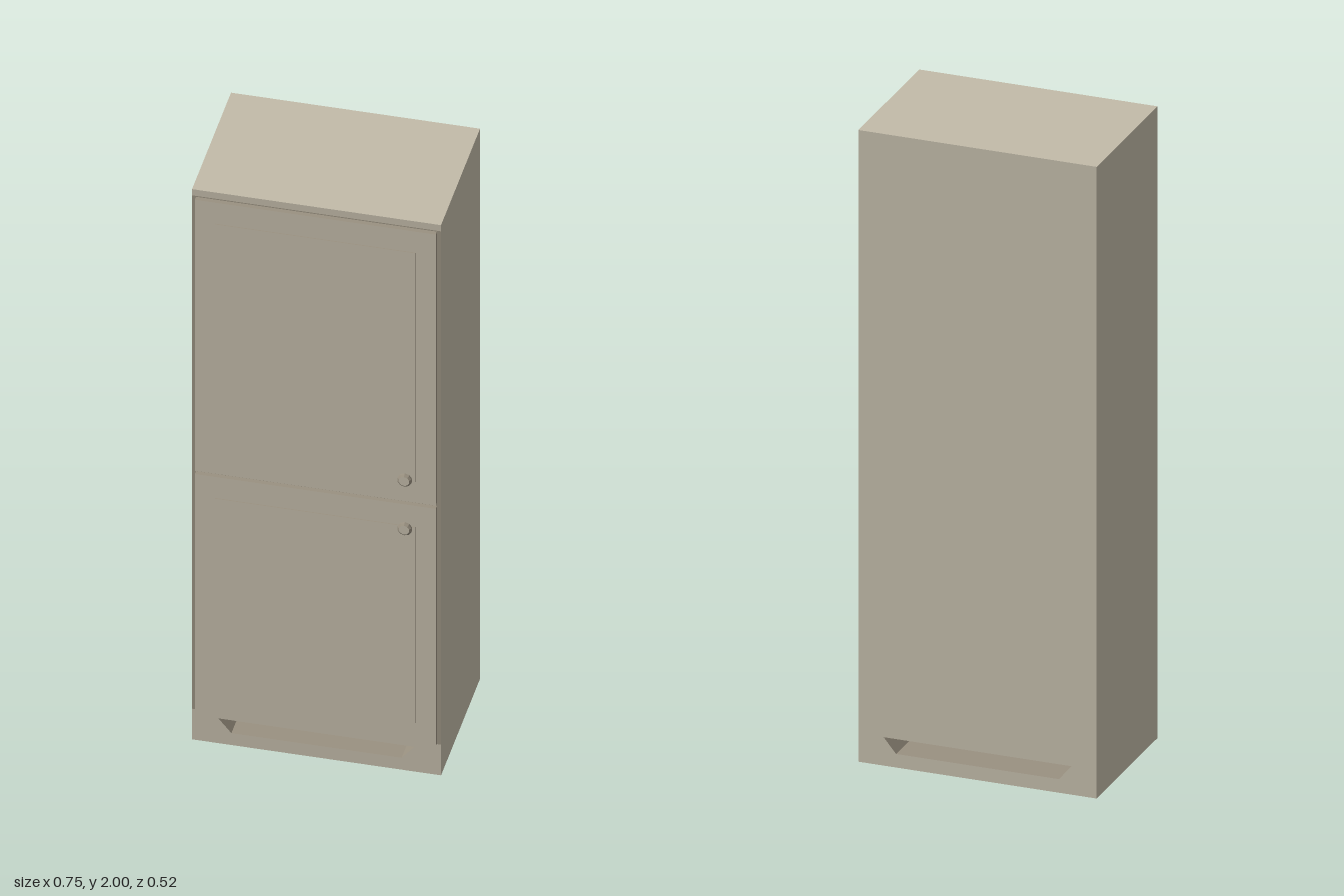
import * as THREE from 'three';

export function createModel() {
  const model = new THREE.Group();
  model.name = 'tallCabinet';

  const light = new THREE.MeshStandardMaterial({ color: 0xc2bba9 });
  light.name = 'beige';
  const dark = new THREE.MeshStandardMaterial({ color: 0x9a9181 });
  dark.name = 'darkBeige';

  const W = 0.373, BACK = -0.263, FRONT = 0.22;

  function add(name, geometry, material, parent = model) {
    const mesh = new THREE.Mesh(geometry, material);
    mesh.name = name;
    parent.add(mesh);
    return mesh;
  }

  function box(name, x0, x1, y0, y1, z0, z1, material, parent) {
    const mesh = add(name, new THREE.BoxGeometry(x1 - x0, y1 - y0, z1 - z0), material, parent);
    mesh.position.set((x0 + x1) / 2, (y0 + y1) / 2, (z0 + z1) / 2);
    return mesh;
  }

  const points = (list) => list.map(([x, y]) => new THREE.Vector2(x, y));

  // Carcass with a tapered slot running through the plinth
  const outline = new THREE.Shape(points([[-W, 0], [W, 0], [W, 2], [-W, 2]]));
  outline.holes.push(new THREE.Path(points([[-0.294, 0.09], [0.294, 0.09], [0.255, 0.043], [-0.255, 0.043]])));
  const carcass = new THREE.ExtrudeGeometry(outline, { depth: FRONT - BACK, bevelEnabled: false });
  carcass.translate(0, 0, BACK);
  // Outer walls stay light, the four slot walls are dark
  const total = carcass.attributes.position.count;
  carcass.clearGroups();
  carcass.addGroup(0, total - 24, 0);
  carcass.addGroup(total - 24, 24, 1);
  add('carcass', carcass, [light, dark]);

  // Dark reveal seen around and between the doors
  box('doorReveal', -W, W, 0.112, 1.978, FRONT - 0.002, FRONT + 0.0008, [light, light, dark, dark, dark, dark]);

  // Faceted knob: dark turned body with a light face
  function addKnob(x, y, z, parent) {
    const knob = new THREE.Group();
    knob.name = 'knob';
    const profile = points([[0.013, 0], [0.009, 0.003], [0.009, 0.007], [0.022, 0.01], [0.022, 0.016], [0.016, 0.021]]);
    const body = new THREE.LatheGeometry(profile, 10).toNonIndexed();
    body.rotateX(Math.PI / 2);
    body.computeVertexNormals();
    add('knobBody', body, dark, knob);
    const face = add('knobFace', new THREE.CircleGeometry(0.016, 10), light, knob);
    face.rotation.z = Math.PI / 2;
    face.position.z = 0.021;
    knob.position.set(x, y, z);
    parent.add(knob);
  }

  // Doors: slab with dark edges, raised panel and knob
  const edged = [dark, dark, dark, dark, light, dark];
  function addDoor(name, y0, y1, knobY) {
    const door = new THREE.Group();
    door.name = name;
    box('doorSlab', -0.361, 0.361, y0, y1, FRONT, 0.236, edged, door);
    box('raisedPanel', -0.3, 0.3, y0 + 0.076, y1 - 0.076, 0.235, 0.24, edged, door);
    addKnob(0.272, knobY, 0.24, door);
    model.add(door);
  }
  addDoor('upperDoor', 0.99, 1.975, 1.08);
  addDoor('lowerDoor', 0.115, 0.978, 0.903);

  return model;
}
